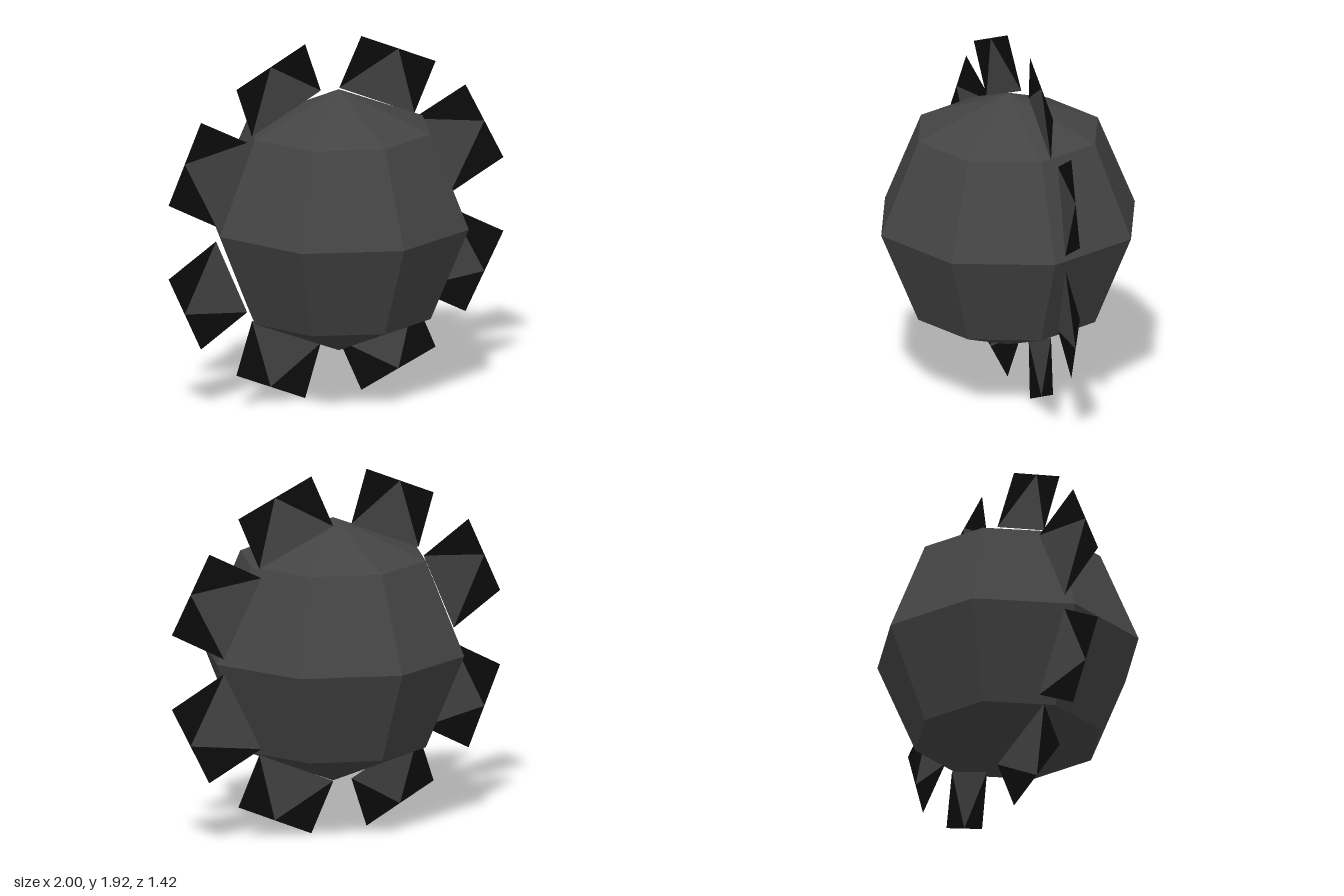
import * as THREE from 'three';

const CENTER_Y = 0.96;

const grey = new THREE.MeshStandardMaterial({ color: 0x444444, flatShading: true, side: THREE.DoubleSide });
grey.name = 'charcoal grey';
const black = new THREE.MeshStandardMaterial({ color: 0x0c0c0c, flatShading: true, side: THREE.DoubleSide });
black.name = 'near black';

// Flat mesh from a list of triangles, each given as three points
function triangles(name, material, tris) {
  const geometry = new THREE.BufferGeometry().setFromPoints(tris.flat());
  geometry.computeVertexNormals();
  const mesh = new THREE.Mesh(geometry, material);
  mesh.name = name;
  return mesh;
}

// Tab: four corners around the body, with a grey wedge between two black triangles
function makeTab(name, corners, sx, sy) {
  const [a, b, c, d] = corners.map(([x, y, z]) => new THREE.Vector3(x * sx, y * sy, z));
  const tip = a.clone().add(b).multiplyScalar(0.5);
  // Keep the corner order facing forward on mirrored tabs
  const face = (p, q, r) => (sx * sy > 0 ? [p, q, r] : [p, r, q]);
  const tab = new THREE.Group();
  tab.name = name;
  tab.add(triangles('tabWedge', grey, [face(tip, c, d)]));
  tab.add(triangles('tabCorners', black, [face(a, tip, d), face(tip, b, c)]));
  return tab;
}

export function createModel() {
  const model = new THREE.Group();
  model.name = 'tabbedBall';

  // Faceted body
  const body = new THREE.Mesh(new THREE.SphereGeometry(0.708, 8, 4), grey);
  body.name = 'body';
  body.position.y = CENTER_Y;
  model.add(body);

  // Tab corners relative to the body centre: outer low, outer high, inner high, inner low
  const sideTab = [[1, 0.2, -0.03], [0.79, 0.615, -0.06], [0.495, 0.46, -0.095], [0.7, 0.04, -0.06]];
  const poleTab = [[0.595, 0.775, -0.03], [0.168, 0.96, -0.06], [0.055, 0.685, -0.095], [0.485, 0.5, -0.06]];

  const tabs = new THREE.Group();
  tabs.name = 'tabs';
  tabs.position.y = CENTER_Y;
  for (const sx of [1, -1]) {
    for (const sy of [1, -1]) {
      const place = (sy > 0 ? 'upper' : 'lower') + (sx > 0 ? 'Left' : 'Right');
      tabs.add(makeTab(place + 'SideTab', sideTab, sx, sy));
      tabs.add(makeTab(place + 'PoleTab', poleTab, sx, sy));
    }
  }
  model.add(tabs);
  return model;
}
